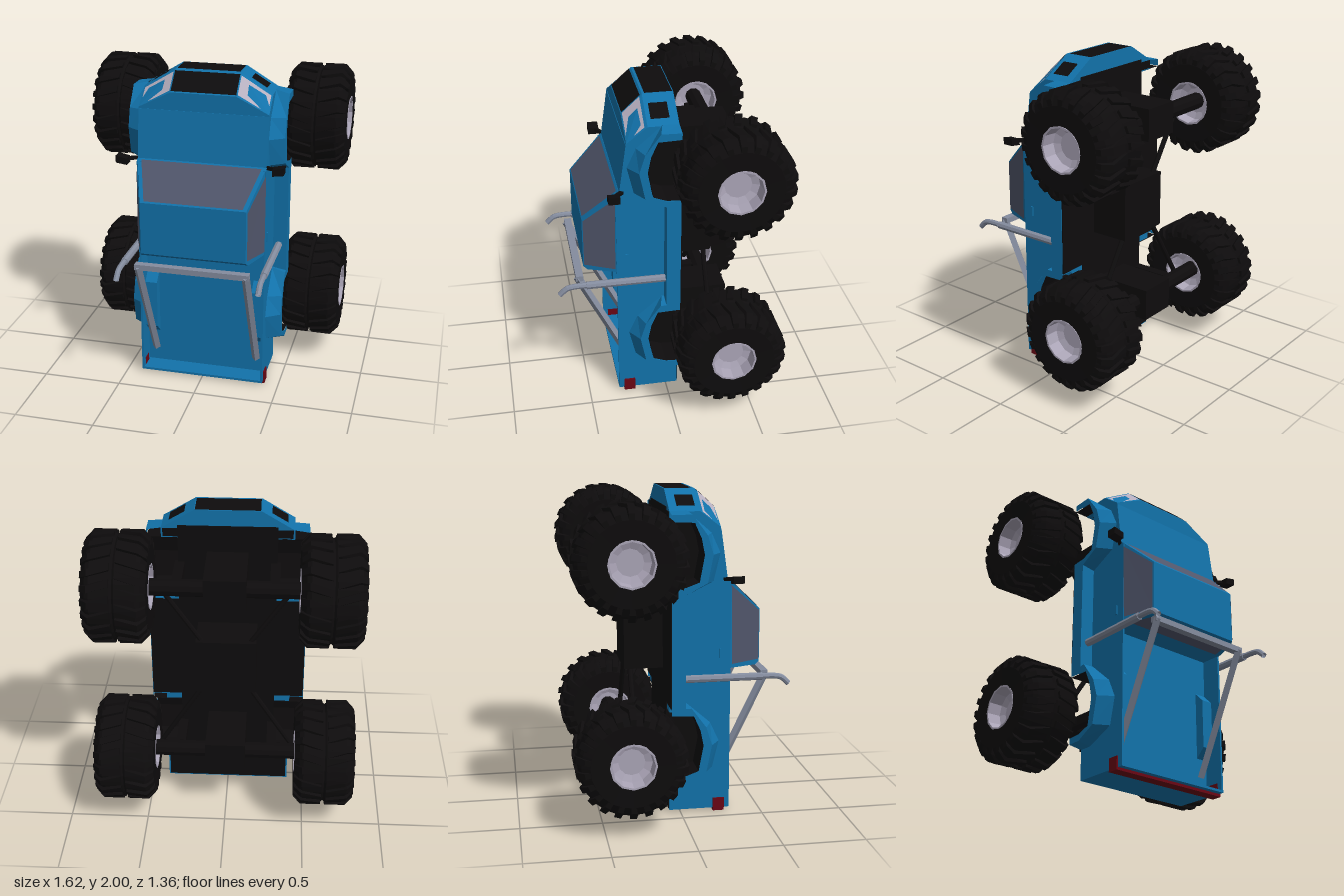
import * as THREE from 'three';
import { ConvexGeometry } from 'three/addons/geometries/ConvexGeometry.js';

const V = (x, y, z) => new THREE.Vector3(x, y, z);
const mat = (color) => new THREE.MeshStandardMaterial({ color, flatShading: true, side: THREE.DoubleSide });
const blue = mat(0x1272aa), black = mat(0x0e0c0d), glass = mat(0x50556a), lamp = mat(0xb8b0c0);
const steel = mat(0x848c9e), rimGrey = mat(0xaaa4b6), red = mat(0x6a0614);

export function createModel() {
  const root = new THREE.Group();
  root.name = 'monsterPickup';

  const add = (name, geo, material, parent = root) => {
    const m = new THREE.Mesh(geo, material);
    m.name = name;
    parent.add(m);
    return m;
  };
  // Box from its limits on each axis
  const box = (name, x0, x1, y0, y1, z0, z1, material) => {
    const g = new THREE.BoxGeometry(Math.abs(x1 - x0), y1 - y0, z1 - z0);
    g.translate((x0 + x1) / 2, (y0 + y1) / 2, (z0 + z1) / 2);
    return add(name, g, material);
  };
  // Round or square bar between two points
  const bar = (name, a, b, r, material, sides = 8) => {
    const m = add(name, new THREE.CylinderGeometry(r, r, a.distanceTo(b), sides), material);
    m.position.copy(a).add(b).multiplyScalar(0.5);
    m.quaternion.setFromUnitVectors(V(0, 1, 0), b.clone().sub(a).normalize());
    return m;
  };
  // Surface through matching rows of points
  const strip = (name, rows, material) => {
    const n = rows[0].length, idx = [];
    for (let r = 0; r < rows.length - 1; r++) {
      for (let i = 0; i < n - 1; i++) {
        const a = r * n + i;
        idx.push(a, a + 1, a + n, a + 1, a + n + 1, a + n);
      }
    }
    const g = new THREE.BufferGeometry().setFromPoints(rows.flat());
    g.setIndex(idx);
    g.computeVertexNormals();
    return add(name, g, material);
  };
  // Four-cornered panel, inset from its corners and lifted off the surface
  const panel = (name, c, inset, lift, material) => {
    const mid = c.reduce((s, p) => s.add(p), V(0, 0, 0)).multiplyScalar(0.25);
    const n = c[1].clone().sub(c[0]).cross(c[3].clone().sub(c[0])).normalize().multiplyScalar(lift);
    const q = c.map((p) => p.clone().lerp(mid, inset).add(n));
    return strip(name, [[q[0], q[1]], [q[3], q[2]]], material);
  };

  // Wheel arch outlines as [z, y offset from the axle]
  const archInner = [[-0.07, -0.2], [0.02, -0.195], [0.1, -0.165], [0.13, 0], [0.11, 0.1], [0.07, 0.19], [-0.07, 0.195]];
  const archOuter = [[-0.07, -0.25], [0.015, -0.25], [0.2, -0.17], [0.24, 0], [0.185, 0.12], [0.03, 0.255], [-0.07, 0.25]];
  const axles = [0.46, 1.632];

  // Main body: side profile with both arches cut out
  const at = (y) => archInner.map(([z, dy]) => [z, y + dy]);
  const profile = [[-0.07, 0.02], ...at(axles[0]), ...at(axles[1]).slice(0, 5), [0.09, 1.775], [0.243, 1.775],
    [0.285, 1.475], [0.308, 1.46], [0.308, 0.92], [0.18, 0.92], [0.18, 0.02]];
  const bodyGeo = new THREE.ExtrudeGeometry(new THREE.Shape(profile.map((p) => new THREE.Vector2(...p))),
    { depth: 0.8, bevelEnabled: false });
  bodyGeo.rotateY(-Math.PI / 2).translate(0.4, 0, 0);
  add('body', bodyGeo, blue);

  // Nose
  const outline = (y0, y1, y2, z) => [-1, 1].flatMap((s) => [V(s * 0.4, y0, z), V(s * 0.4, y2, z), V(s * 0.2, y1, z)]);
  add('noseLower', new ConvexGeometry([...outline(1.82, 2, 1.88, -0.07), ...outline(1.82, 2, 1.88, 0.09)]), blue);
  add('noseUpper', new ConvexGeometry([...outline(1.774, 2, 1.88, 0.09), ...outline(1.774, 2, 1.88, 0.115),
    ...outline(1.774, 1.885, 1.785, 0.24)]), blue);
  panel('grille', [V(-0.195, 2, -0.065), V(-0.195, 2, 0.1), V(0.195, 2, 0.1), V(0.195, 2, -0.065)], 0, 0.001, black);
  panel('upperGrille', [V(-0.2, 1.99, 0.125), V(-0.2, 1.89, 0.234), V(0.2, 1.89, 0.234), V(0.2, 1.99, 0.125)], 0, 0.003, black);

  // Cab
  const cabBase = [V(0.4, 0.92, 0.3), V(0.4, 1.475, 0.29), V(-0.4, 1.475, 0.29), V(-0.4, 0.92, 0.3)];
  const cabTop = [V(0.325, 0.94, 0.505), V(0.325, 1.27, 0.505), V(-0.325, 1.27, 0.505), V(-0.325, 0.94, 0.505)];
  add('cab', new ConvexGeometry([...cabBase, ...cabTop, V(0.335, 0.92, 0.48), V(-0.335, 0.92, 0.48)]), blue);
  panel('windshield', [cabBase[1], cabTop[1], cabTop[2], cabBase[2]], 0.07, -0.004, glass);
  panel('rearWindow', [V(-0.38, 0.92, 0.32), V(0.38, 0.92, 0.32), V(0.335, 0.92, 0.475), V(-0.335, 0.92, 0.475)], 0.07, 0.003, glass);

  // Cargo bed
  box('tailgate', -0.4, 0.4, 0.02, 0.035, 0.17, 0.308, blue);
  box('rearBumper', -0.41, 0.41, 0.003, 0.02, 0.205, 0.275, red);

  // Roll bar crosspiece
  box('rollBarTop', -0.355, 0.355, 0.85, 0.885, 0.51, 0.556, steel);

  for (const s of [1, -1]) {
    const P = (x, y, z) => V(s * x, y, z);

    // Lights
    panel('headlight', [P(0.205, 1.985, 0.128), P(0.39, 1.873, 0.128), P(0.39, 1.79, 0.232), P(0.205, 1.89, 0.232)], 0.02, -0.004 * s, lamp);
    panel('fogLight', [P(0.26, 1.964, -0.02), P(0.355, 1.907, -0.02), P(0.355, 1.907, 0.09), P(0.26, 1.964, 0.09)], 0, -0.003 * s, black);
    box('tailLight', s * 0.385, s * 0.41, 0.003, 0.085, 0.205, 0.275, red);

    // Side window, door handle and mirror
    panel('sideWindow', [P(0.4, 0.93, 0.31), P(0.4, 1.455, 0.3), P(0.325, 1.27, 0.505), P(0.325, 0.94, 0.505)], 0.07, 0.005 * s, glass);
    box('doorHandle', s * 0.398, s * 0.408, 0.985, 1.045, 0.237, 0.255, blue);
    bar('mirrorArm', P(0.39, 1.47, 0.265), P(0.46, 1.48, 0.32), 0.015, black, 4);
    add('mirror', new ConvexGeometry([P(0.445, 1.45, 0.295), P(0.515, 1.46, 0.295), P(0.445, 1.49, 0.295), P(0.515, 1.505, 0.295),
      P(0.445, 1.45, 0.362), P(0.515, 1.46, 0.362), P(0.445, 1.49, 0.362), P(0.515, 1.505, 0.362)]), black);

    // Side skirt and bed walls
    box('sideSkirt', s * 0.39, s * 0.488, 0.69, 1.41, -0.07, 0.016, blue);
    box('bedWall', s * 0.387, s * 0.4, 0.02, 0.92, 0.17, 0.308, blue);
    add('bedWheelBox', new ConvexGeometry([[0.25, 0.68, 0.18], [0.31, 0.62, 0.24]].flatMap(([a, b, z]) =>
      [P(0.31, a, z), P(0.39, a, z), P(0.31, b, z), P(0.39, b, z)])), blue);

    // Roll bar leg and upright exhaust
    bar('rollBarLeg', P(0.335, 0.87, 0.545), P(0.335, 0.13, 0.185), 0.026, steel, 4);
    bar('exhaustStack', P(0.435, 0.87, 0.016), P(0.435, 0.87, 0.5), 0.024, steel);
    const tip = new THREE.CatmullRomCurve3([P(0.435, 0.87, 0.47), P(0.435, 0.87, 0.57), P(0.435, 0.86, 0.62), P(0.435, 0.82, 0.665)]);
    add('exhaustTip', new THREE.TubeGeometry(tip, 10, 0.018, 8), steel);

    for (const y of axles) {
      // Fender flare and dark arch liner
      const row = (pts, x) => pts.map(([z, dy]) => P(x, y + dy, z));
      const lip = archInner.map(([z, dy], i) => [z + (archOuter[i][0] - z) * 0.45, dy + (archOuter[i][1] - dy) * 0.75]);
      strip('fenderFlare', [row(archOuter, 0.398), row(lip, 0.488), row(archInner, 0.488)], blue);
      const liner = archInner.map(([z, dy]) => [z - 0.003, dy * 0.985]);
      strip('archLiner', [row(liner, 0.486), row(liner, 0.29)], black);

      // Suspension strut and diagonal link
      box('strut', s * 0.26, s * 0.32, y - 0.03, y + 0.03, -0.33, -0.06, black);
      bar('axleLink', P(0.42, y, -0.28), P(0.13, y < 1 ? 0.92 : 1.2, -0.28), 0.016, black);
      const wheel = createWheel(add);
      wheel.position.set(s * 0.622, y, -0.345);
      wheel.rotation.z = s > 0 ? 0 : Math.PI;
      root.add(wheel);
    }
  }

  // Underside and running gear
  box('floorPan', -0.485, 0.485, 0.7, 1.4, -0.076, -0.069, black);
  box('floorPanCentre', -0.3, 0.3, 0.03, 1.9, -0.076, -0.069, black);
  box('floorPanRear', -0.39, 0.39, 0.03, 0.24, -0.076, -0.069, black);
  box('floorPanNose', -0.39, 0.39, 1.83, 1.88, -0.076, -0.069, black);
  box('transferCase', -0.185, 0.185, 0.885, 1.24, -0.32, -0.07, black);
  for (const y of axles) {
    box('archCore', -0.3, 0.3, y - 0.21, y + 0.2, -0.069, 0.135, black);
    bar('axle', V(-0.55, y, -0.348), V(0.55, y, -0.348), 0.052, black, 10);
    box('differential', -0.125, 0.125, y - 0.1, y + 0.1, -0.445, -0.07, black);
  }
  return root;
}

// Wheel with its axle along x and its outer face towards +x
function createWheel(add) {
  const wheel = new THREE.Group();
  wheel.name = 'wheel';
  const lathe = (name, pts, segs, material) => {
    const g = new THREE.LatheGeometry(pts.map((p) => new THREE.Vector2(...p)), segs);
    add(name, g.rotateZ(-Math.PI / 2), material, wheel);
  };
  lathe('tyre', [[0.138, -0.184], [0.25, -0.186], [0.3, -0.155], [0.316, -0.13], [0.316, -0.012], [0.306, 0],
    [0.316, 0.012], [0.316, 0.13], [0.3, 0.155], [0.25, 0.186], [0.138, 0.184]], 24, black);
  for (const s of [1, -1]) {
    lathe('rim', [[0, s * 0.09], [0.08, s * 0.09], [0.122, s * 0.105], [0.128, s * 0.187], [0.14, s * 0.187]], 12, rimGrey);
  }
  // Chevron tread lugs, staggered on the two halves
  const count = 22;
  for (const s of [1, -1]) {
    for (let i = 0; i < count; i++) {
      const corner = (x, r, t) => {
        const a = ((i + (s > 0 ? 0 : 0.5) + t) / count) * Math.PI * 2;
        return V(s * x, r * Math.cos(a), r * Math.sin(a));
      };
      const pts = [];
      for (const d of [-0.22, 0.22]) {
        pts.push(corner(0.015, 0.3, 0.4 + d), corner(0.015, 0.333, 0.4 + d), corner(0.14, 0.334, d),
          corner(0.186, 0.285, d), corner(0.186, 0.25, d), corner(0.14, 0.29, d));
      }
      add('treadLug', new ConvexGeometry(pts), black, wheel);
    }
  }
  return wheel;
}
